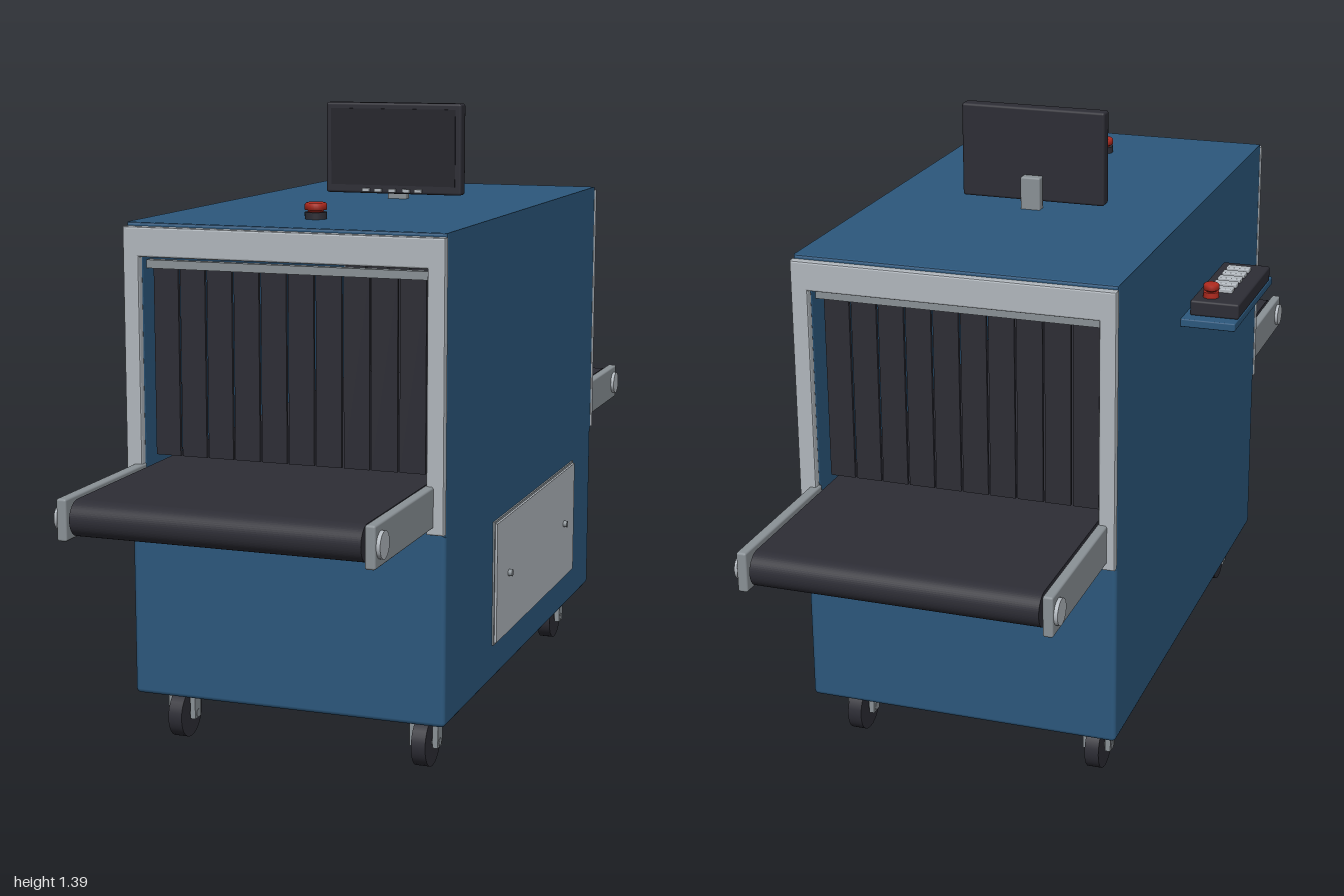
import * as THREE from 'three';
import { RoundedBoxGeometry } from 'three/addons/geometries/RoundedBoxGeometry.js';

const mat = (name, color) => {
  const m = new THREE.MeshStandardMaterial({ color });
  m.name = name;
  return m;
};

export function createModel() {
  const blue = mat('blue paint', 0x2c587d);
  const light = mat('light grey metal', 0xb2b8be);
  const grey = mat('mid grey metal', 0x8b9297);
  const dark = mat('dark rubber', 0x2d2d35);
  const screenMat = mat('screen black', 0x24242b);
  const red = mat('red button', 0xb02a1e);

  const root = new THREE.Group();
  root.name = 'baggageScanner';
  const CX = 0.05; // the cabinet sits a little to the model's left

  const add = (name, geo, material, x = 0, y = 0, z = 0, parent = root) => {
    const m = new THREE.Mesh(geo, material);
    m.name = name;
    m.position.set(x, y, z);
    parent.add(m);
    return m;
  };
  // Box given by its extents, optionally with rounded edges
  const box = (name, material, [x0, x1], [y0, y1], [z0, z1], r = 0, parent = root) => {
    const s = [x1 - x0, y1 - y0, z1 - z0];
    const geo = r ? new RoundedBoxGeometry(...s, 2, r) : new THREE.BoxGeometry(...s);
    return add(name, geo, material, (x0 + x1) / 2, (y0 + y1) / 2, (z0 + z1) / 2, parent);
  };
  const cyl = (name, material, r, h, x, y, z, axis = 'y', parent = root) => {
    const geo = new THREE.CylinderGeometry(r, r, h, 28);
    if (axis === 'x') geo.rotateZ(Math.PI / 2);
    if (axis === 'z') geo.rotateX(Math.PI / 2);
    return add(name, geo, material, x, y, z, parent);
  };
  // Upside-down U extruded along z, centred on z = 0
  const arch = (x0, x1, y0, y1, ix0, ix1, iy, depth, bevel) => {
    const b = bevel;
    const s = new THREE.Shape();
    [[x0 + b, y0 + b], [ix0 - b, y0 + b], [ix0 - b, iy + b], [ix1 + b, iy + b],
      [ix1 + b, y0 + b], [x1 - b, y0 + b], [x1 - b, y1 - b], [x0 + b, y1 - b]]
      .forEach(([x, y], i) => (i ? s.lineTo(x, y) : s.moveTo(x, y)));
    s.closePath();
    const geo = new THREE.ExtrudeGeometry(s, {
      depth: depth - 2 * b, bevelEnabled: true, bevelSize: b, bevelThickness: b, bevelSegments: 2,
    });
    return geo.translate(0, 0, -depth / 2 + b);
  };

  // Cabinet: solid base and hollow tunnel cover
  box('baseCabinet', blue, [-0.305, 0.41], [0.124, 0.55], [-0.622, 0.622], 0.01);
  add('tunnelCover', arch(-0.305, 0.41, 0.535, 1.166, -0.27, 0.373, 1.096, 1.244, 0.005), blue);

  // Conveyor belt: one closed loop around the end rollers
  const R = 0.038, BY = 0.602, zr = 1 - R - 0.002;
  const loop = new THREE.Shape();
  loop.absarc(zr, 0, R, -Math.PI / 2, Math.PI / 2, false);
  loop.absarc(-zr, 0, R, Math.PI / 2, Math.PI * 1.5, false);
  loop.closePath();
  const beltGeo = new THREE.ExtrudeGeometry(loop, { depth: 0.62, bevelEnabled: false, curveSegments: 16 });
  beltGeo.rotateY(-Math.PI / 2).translate(0.36, 0, 0);
  add('conveyorBelt', beltGeo, dark, 0, BY, 0);

  // Both ends of the tunnel: frame, curtain and conveyor side rails
  for (const s of [1, -1]) {
    const end = new THREE.Group();
    end.name = s > 0 ? 'frontEnd' : 'rearEnd';
    root.add(end);
    add('openingFrame', arch(-0.306, 0.411, 0.543, 1.158, -0.27, 0.373, 1.094, 0.022, 0.004),
      light, 0, 0, s * 0.63, end);
    const zc = s * 0.59;
    box('curtainBar', grey, [-0.27, 0.373], [1.066, 1.084], [zc - 0.01, zc + 0.01], 0, end);
    const pitch = 0.0618;
    for (let i = 0; i < 10; i++) {
      const x = CX + (i - 4.5) * pitch;
      box('curtainStrip', dark, [x - 0.0285, x + 0.0285], [0.66, 1.068], [zc - 0.004, zc + 0.004], 0, end);
    }
    for (const side of [-1, 1]) {
      const x = CX + side * 0.328;
      const za = s * 0.62, zb = s * 0.998;
      box('sideRail', grey, [x - 0.011, x + 0.011], [0.558, 0.646],
        [Math.min(za, zb), Math.max(za, zb)], 0.005, end);
      cyl('rollerCap', light, 0.028, 0.012, x + side * 0.013, BY, s * 0.965, 'x', end);
      cyl('rollerAxle', grey, 0.012, 0.03, x - side * 0.015, BY, s * 0.962, 'x', end);
    }
  }

  // Access panel on the left side
  box('accessPanelSurround', grey, [0.405, 0.414], [0.206, 0.49], [-0.43, 0.272]);
  box('accessPanel', light, [0.41, 0.419], [0.211, 0.485], [-0.425, 0.267]);
  for (const z of [0.17, -0.327]) cyl('panelLock', grey, 0.008, 0.014, 0.421, 0.35, z, 'x');

  // Monitor on its stand
  box('monitorCase', dark, [-0.117, 0.22], [1.18, 1.394], [-0.114, -0.078], 0.006);
  box('monitorScreen', screenMat, [-0.103, 0.206], [1.2, 1.38], [-0.08, -0.075]);
  box('monitorNeck', grey, [0.027, 0.073], [1.16, 1.24], [-0.138, -0.112], 0.004);
  for (const dx of [-0.065, -0.035, 0, 0.035, 0.065])
    box('monitorKey', light, [CX + dx - 0.009, CX + dx + 0.009], [1.184, 1.192], [-0.08, -0.073]);

  // Emergency stop button
  const stopButton = (x, y, z, r, h, base) => {
    const g = new THREE.Group();
    g.name = 'emergencyStop';
    g.position.set(x, y, z);
    root.add(g);
    cyl('buttonBase', base, r, h, 0, h / 2, 0, 'y', g);
    const p = [[0, h], [r * 0.7, h], [r * 0.7, h * 1.2], [r, h * 1.3], [r, h * 2], [r * 0.85, h * 2.2], [0, h * 2.2]];
    add('buttonHead', new THREE.LatheGeometry(p.map(([a, b]) => new THREE.Vector2(a, b)), 28), red, 0, 0, 0, g);
  };
  stopButton(CX, 1.164, 0.425, 0.024, 0.017, dark);

  // Operator console on a shelf at the right side
  box('consoleShelf', blue, [-0.43, -0.3], [0.922, 0.941], [-0.132, 0.242], 0.003);
  box('consoleBox', dark, [-0.43, -0.317], [0.94, 0.976], [-0.1, 0.212], 0.005);
  for (let i = 0; i < 5; i++) {
    const z = -0.01 + i * 0.041;
    box('consoleKey', light, [-0.395, -0.34], [0.97, 0.985], [z - 0.013, z + 0.013], 0.003);
  }
  stopButton(-0.356, 0.974, -0.06, 0.018, 0.0155, red);

  // Castors
  for (const x of [CX - 0.285, CX + 0.285]) for (const z of [-0.515, 0.515]) {
    const g = new THREE.Group();
    g.name = 'castor';
    g.position.set(x, 0, z);
    root.add(g);
    cyl('wheel', dark, 0.055, 0.032, 0, 0.055, 0, 'x', g);
    cyl('wheelAxle', grey, 0.009, 0.066, 0, 0.055, 0, 'x', g);
    box('forkTop', grey, [-0.032, 0.032], [0.113, 0.128], [-0.022, 0.022], 0, g);
    for (const s of [-1, 1])
      box('forkArm', grey, [s * 0.026 - 0.006, s * 0.026 + 0.006], [0.045, 0.125], [-0.016, 0.016], 0, g);
  }
  return root;
}
